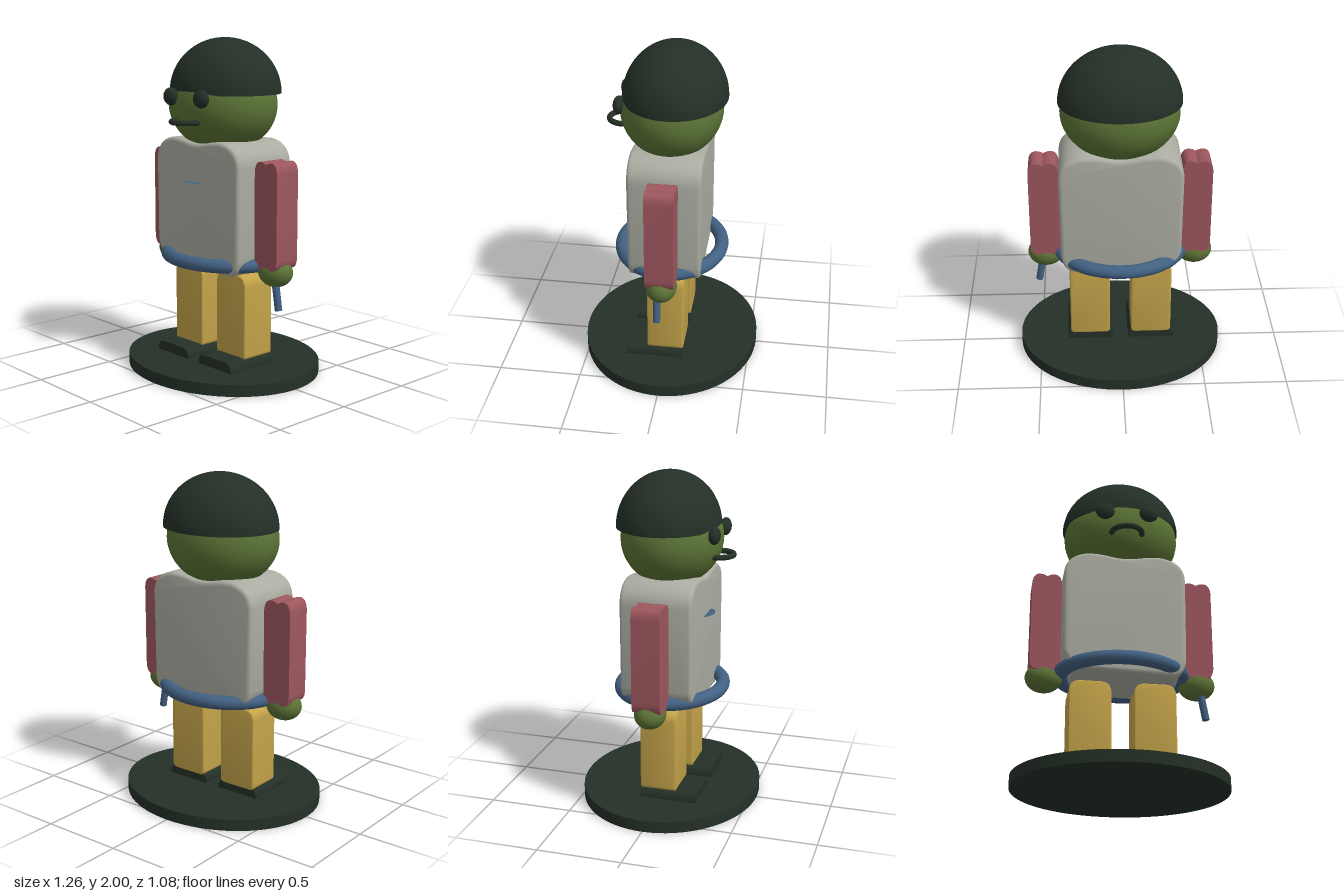
import * as THREE from 'three';
import { toCreasedNormals } from 'three/addons/utils/BufferGeometryUtils.js';

function mat(name, color) {
  const m = new THREE.MeshStandardMaterial({ color });
  m.name = name;
  return m;
}

// Extrude a front outline along z, centred on z = cz, with an optional bevel kept inside the outline
function slab(shape, depth, cz = 0, bevel = 0) {
  const g = new THREE.ExtrudeGeometry(shape, {
    depth: depth - 2 * bevel, curveSegments: 12, bevelEnabled: bevel > 0,
    bevelThickness: bevel, bevelSize: bevel, bevelOffset: -bevel, bevelSegments: 3,
  });
  g.translate(0, 0, cz - depth / 2 + bevel);
  return toCreasedNormals(g, 0.6);
}

// Rounded outline with separate corner sizes at the top and bottom
function rounded(x0, x1, y0, y1, top, bottom) {
  const s = new THREE.Shape();
  s.moveTo(x0 + bottom, y0);
  s.lineTo(x1 - bottom, y0);
  if (bottom) s.quadraticCurveTo(x1, y0, x1, y0 + bottom);
  s.lineTo(x1, y1 - top);
  s.quadraticCurveTo(x1, y1, x1 - top, y1);
  s.lineTo(x0 + top, y1);
  s.quadraticCurveTo(x0, y1, x0, y1 - top);
  s.lineTo(x0, y0 + bottom);
  if (bottom) s.quadraticCurveTo(x0, y0, x0 + bottom, y0);
  return s;
}

export function createModel() {
  const model = new THREE.Group();
  const dark = mat('dark green', 0x243027);
  const skin = mat('olive', 0x5b7335);
  const cloth = mat('light grey', 0xabada2);
  const sleeve = mat('dusty red', 0x9c565d);
  const trouser = mat('ochre', 0xc5a44a);
  const blue = mat('slate blue', 0x426183);

  const add = (name, geo, material, x = 0, y = 0, z = 0) => {
    const m = new THREE.Mesh(geo, material);
    m.name = name;
    m.position.set(x, y, z);
    model.add(m);
    return m;
  };
  const ball = (name, material, x, y, z, rx, ry, rz) =>
    add(name, new THREE.SphereGeometry(1, 40, 28), material, x, y, z).scale.set(rx, ry, rz);

  // Oval stand
  add('base', new THREE.CylinderGeometry(1, 1, 0.07, 72), dark, 0, 0.035).scale.set(0.63, 1, 0.54);

  // Torso with a dipped neckline and slightly uneven hem
  const body = new THREE.Shape();
  body.moveTo(-0.22, 0.655);
  body.lineTo(0.27, 0.637);
  body.quadraticCurveTo(0.35, 0.64, 0.36, 0.75);
  body.lineTo(0.365, 1.27);
  body.quadraticCurveTo(0.36, 1.39, 0.22, 1.41);
  body.quadraticCurveTo(0.14, 1.41, 0.09, 1.398);
  body.quadraticCurveTo(0, 1.378, -0.09, 1.398);
  body.quadraticCurveTo(-0.14, 1.41, -0.22, 1.41);
  body.quadraticCurveTo(-0.36, 1.39, -0.365, 1.27);
  body.lineTo(-0.36, 0.77);
  body.quadraticCurveTo(-0.34, 0.67, -0.22, 0.655);
  add('torso', slab(body, 0.43, 0, 0.022), cloth);

  // Belt ring
  const belt = new THREE.TorusGeometry(0.305, 0.041, 16, 72);
  belt.rotateX(Math.PI / 2);
  add('belt', belt, blue, 0, 0.697).scale.set(1.185, 1, 1);

  // Thin chest flap, facing up
  const flap = new THREE.CircleGeometry(1, 24, Math.PI, Math.PI);
  flap.rotateX(-Math.PI / 2);
  add('chestFlap', flap, blue, 0, 1.16, 0.213).scale.set(0.09, 1, 0.045);

  // Limbs, mirrored
  for (const side of [1, -1]) {
    const tag = side > 0 ? 'left' : 'right';
    const c = 0.19 * side;
    add(tag + 'Shoe', slab(rounded(c - 0.142, c + 0.142, 0.068, 0.13, 0.055, 0), 0.345, 0.067), dark);
    add(tag + 'Leg', slab(rounded(c - 0.124, c + 0.124, 0.115, 0.625, 0.07, 0.03), 0.22, 0, 0.008), trouser);

    // Arm outline has two humps at each end
    const a = new THREE.Shape();
    a.moveTo(-0.09, 0.76);
    a.quadraticCurveTo(-0.09, 0.69, -0.045, 0.69);
    a.quadraticCurveTo(-0.02, 0.69, 0, 0.705);
    a.quadraticCurveTo(0.02, 0.69, 0.045, 0.69);
    a.quadraticCurveTo(0.09, 0.69, 0.09, 0.76);
    a.lineTo(0.09, 1.25);
    a.quadraticCurveTo(0.085, 1.31, 0.045, 1.312);
    a.quadraticCurveTo(0.02, 1.312, 0, 1.298);
    a.quadraticCurveTo(-0.02, 1.312, -0.045, 1.312);
    a.quadraticCurveTo(-0.085, 1.31, -0.09, 1.25);
    add(tag + 'Arm', slab(a, 0.168), sleeve, 0.455 * side);
    ball(tag + 'Hand', skin, 0.455 * side, 0.667, 0, 0.11, 0.088, 0.092);
    ball(tag + 'Eye', dark, 0.133 * side, 1.66, 0.287, 0.058, 0.052, 0.034);
  }

  // Small rod held in the left hand
  const rod = add('rod', new THREE.CylinderGeometry(0.022, 0.022, 0.2, 20), blue, 0.487, 0.547, 0.021);
  rod.rotation.z = 0.17;

  // Head and closed helmet dome
  ball('head', skin, 0, 1.61, 0, 0.35, 0.285, 0.3);
  const dome = new THREE.SphereGeometry(1, 56, 24, 0, Math.PI * 2, 0, Math.PI / 2);
  add('helmet', dome, dark, 0, 1.678, -0.02).scale.set(0.36, 0.322, 0.306);
  const rim = new THREE.CircleGeometry(1, 56);
  rim.rotateX(Math.PI / 2);
  add('helmetUnderside', rim, dark, 0, 1.678, -0.02).scale.set(0.36, 1, 0.306);

  // Mouth: half ring lying flat in front of the face
  const mouth = new THREE.TorusGeometry(0.091, 0.0165, 14, 36, Math.PI);
  mouth.rotateX(Math.PI / 2);
  add('mouth', mouth, dark, 0, 1.522, 0.277);
  for (const s of [1, -1]) ball('mouthEnd', dark, 0.091 * s, 1.522, 0.277, 0.0165, 0.0165, 0.0165);

  return model;
}
